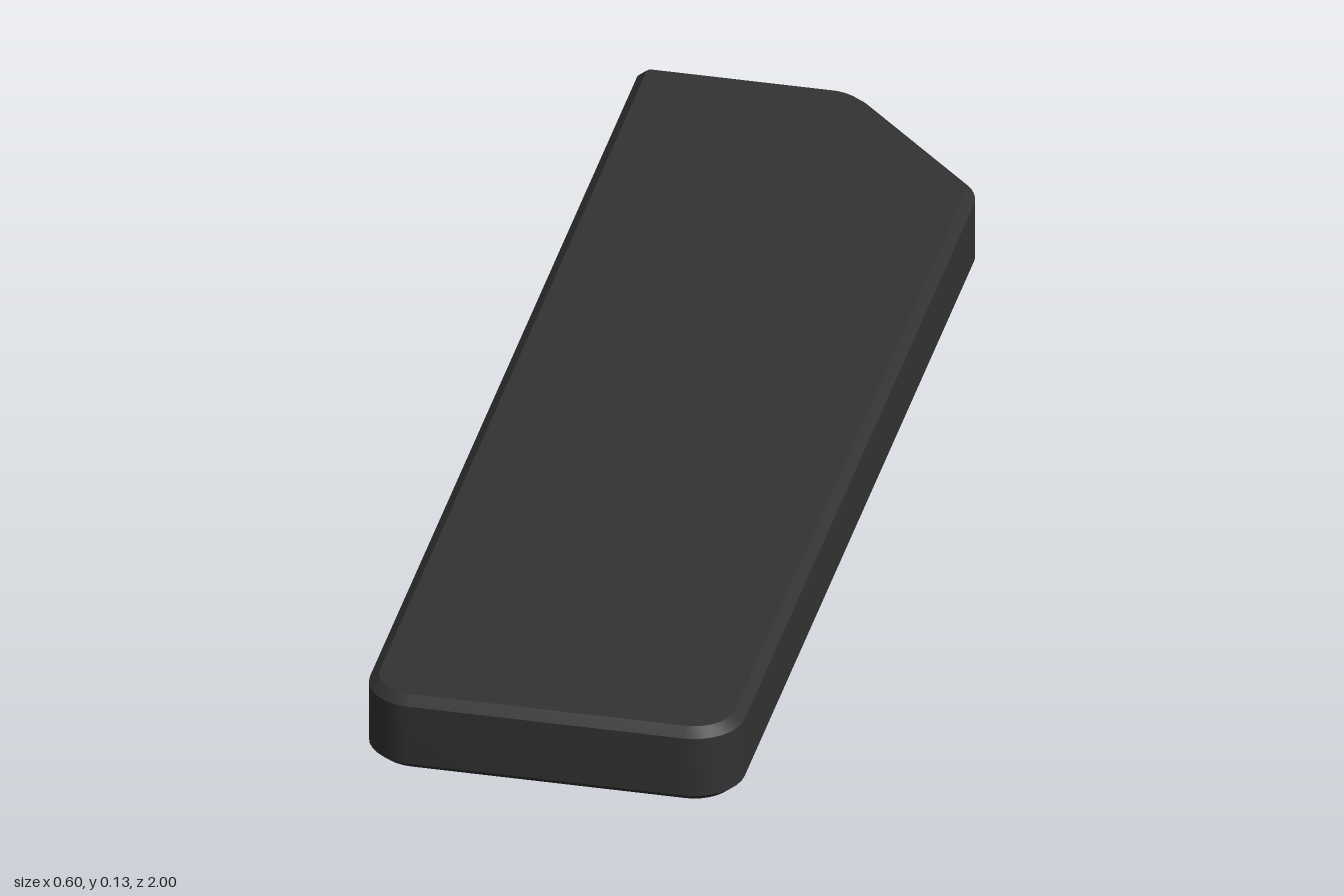
import * as THREE from 'three';
import { toCreasedNormals } from 'three/addons/utils/BufferGeometryUtils.js';

const HEIGHT = 0.132, BEVEL = 0.016, BEVEL_HEIGHT = 0.014;

// Closed outline whose corners [x, y, cut] are rounded, starting cut units before each corner
function roundedOutline(corners) {
  const shape = new THREE.Shape();
  const points = corners.map(([x, y]) => new THREE.Vector2(x, y));
  const n = points.length;
  const toward = (from, to, d) => to.clone().sub(from).setLength(d).add(from);
  points.forEach((p, i) => {
    const cut = corners[i][2];
    const a = toward(p, points[(i + n - 1) % n], cut);
    const b = toward(p, points[(i + 1) % n], cut);
    const ha = a.clone().lerp(p, 0.55), hb = b.clone().lerp(p, 0.55);
    if (i === 0) shape.moveTo(a.x, a.y);
    else shape.lineTo(a.x, a.y);
    shape.bezierCurveTo(ha.x, ha.y, hb.x, hb.y, b.x, b.y);
  });
  shape.closePath();
  return shape;
}

export function createModel() {
  const group = new THREE.Group();
  group.name = 'barModel';

  // Plan outline, drawn inside the bevel; the back is at +y before laying flat
  const x = 0.302 - BEVEL, z = 1 - BEVEL;
  const outline = roundedOutline([
    [-x, -z, 0.065],
    [x, -z, 0.065],
    [x, 0.738, 0.025],
    [0.04, z, 0.025],
    [-x, z, 0.006],
  ]);

  // Flat bar with one clipped back corner and chamfered rims
  const geometry = new THREE.ExtrudeGeometry(outline, {
    depth: HEIGHT - 2 * BEVEL_HEIGHT,
    bevelEnabled: true,
    bevelSize: BEVEL,
    bevelThickness: BEVEL_HEIGHT,
    bevelSegments: 1,
    curveSegments: 8,
  });
  geometry.rotateX(-Math.PI / 2);
  geometry.translate(0, BEVEL_HEIGHT, 0);

  const bar = new THREE.Mesh(
    toCreasedNormals(geometry, 0.6),
    new THREE.MeshStandardMaterial({ color: 0x333333 })
  );
  bar.name = 'clippedBar';
  group.add(bar);
  return group;
}
